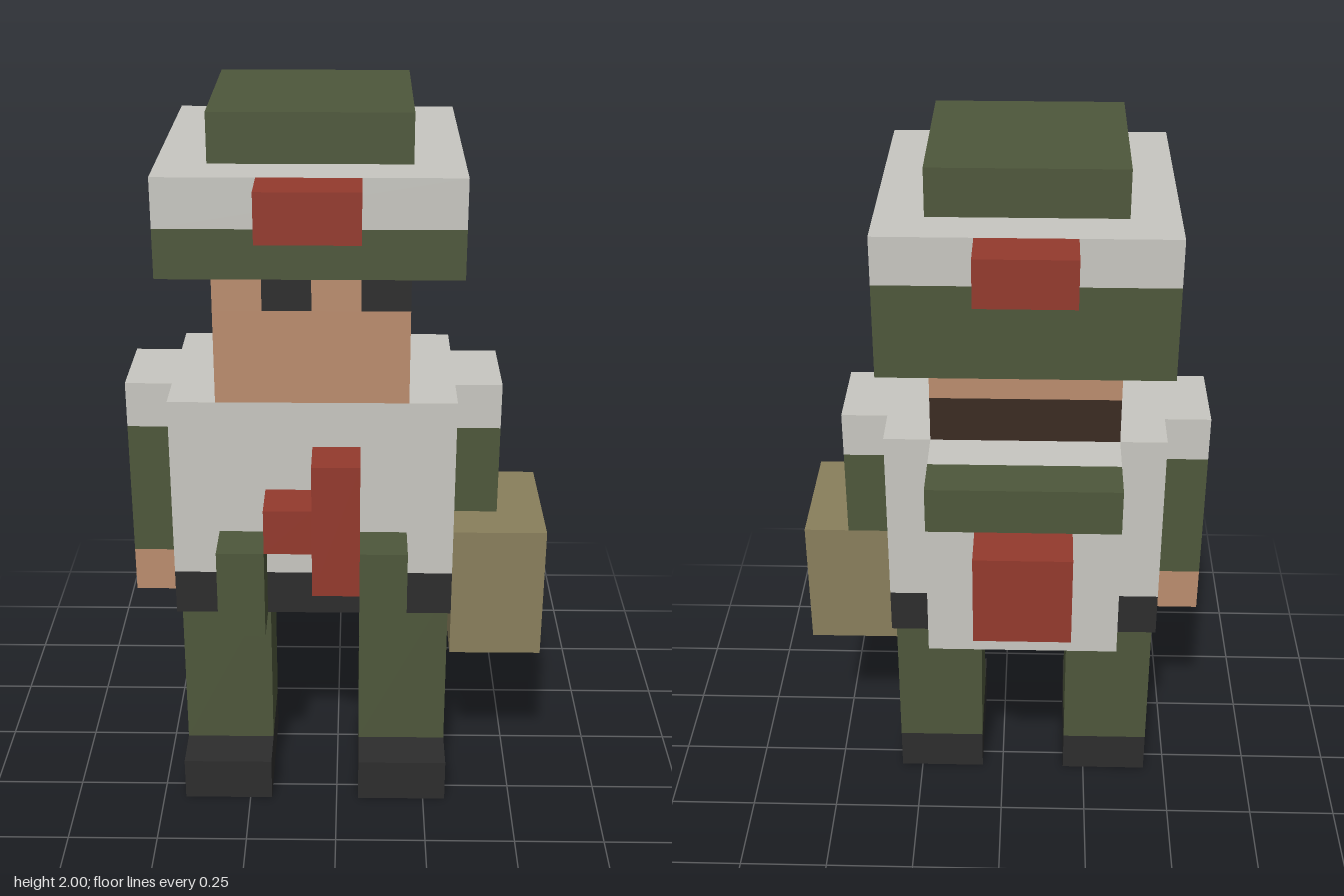
import * as THREE from 'three';

// The figure is laid out on a 9 x 16 x 9 grid of cubes
const UNIT = 0.125;
const HALF = 4.5;

const paint = (name, color) => {
  const m = new THREE.MeshStandardMaterial({ color });
  m.name = name;
  return m;
};

export function createModel() {
  const green = paint('olive green', 0x4e573b);
  const white = paint('off white', 0xc8c7c1);
  const red = paint('brick red', 0x943a2d);
  const skin = paint('skin', 0xbb8d6e);
  const black = paint('charcoal', 0x2d2d2d);
  const tan = paint('khaki tan', 0x897f5c);
  const brown = paint('dark brown', 0x3b2b22);

  const model = new THREE.Group();
  model.name = 'figure';

  const part = (name) => {
    const g = new THREE.Group();
    g.name = name;
    model.add(g);
    return g;
  };

  // Box spanning grid ranges [from, to] on each axis
  const block = (parent, name, material, [x0, x1], [y0, y1], [z0, z1]) => {
    const geo = new THREE.BoxGeometry((x1 - x0) * UNIT, (y1 - y0) * UNIT, (z1 - z0) * UNIT);
    const mesh = new THREE.Mesh(geo, material);
    mesh.name = name;
    mesh.position.set(
      ((x0 + x1) / 2 - HALF) * UNIT,
      ((y0 + y1) / 2) * UNIT,
      ((z0 + z1) / 2 - HALF) * UNIT
    );
    parent.add(mesh);
  };

  // Legs and shoes
  for (const [side, x] of [['right', 1], ['left', 5]]) {
    const leg = part(side + 'Leg');
    block(leg, 'shoe', black, [x, x + 2], [0, 1], [4, 7]);
    block(leg, 'trouserLeg', green, [x, x + 2], [1, 5], [4, 6]);
  }

  // Torso with belt, belt pouches and chest emblem blocks
  const torso = part('torso');
  block(torso, 'belt', black, [1, 7], [5, 6], [3, 7]);
  block(torso, 'shirt', white, [1, 7], [6, 10], [3, 7]);
  for (const x of [2, 5]) block(torso, 'beltPouch', green, [x, x + 1], [5, 7], [7, 8]);
  block(torso, 'chestBlockTall', red, [4, 5], [6, 9], [7, 8]);
  block(torso, 'chestBlockShort', red, [3, 4], [7, 8], [7, 8]);

  // Arms
  const rightArm = part('rightArm');
  block(rightArm, 'shoulder', white, [0, 1], [9, 10], [4, 6]);
  block(rightArm, 'sleeve', green, [0, 1], [6, 9], [4, 6]);
  block(rightArm, 'hand', skin, [0, 1], [5, 6], [4, 6]);
  const leftArm = part('leftArm');
  block(leftArm, 'shoulder', white, [7, 8], [9, 10], [4, 6]);
  block(leftArm, 'sleeve', green, [7, 8], [7, 9], [4, 6]);
  block(leftArm, 'carriedBag', tan, [7, 9], [4, 7], [4, 7]);

  // Backpack
  const pack = part('backpack');
  block(pack, 'packInner', white, [2, 6], [6, 10], [2, 3]);
  block(pack, 'packOuter', white, [2, 6], [6, 9], [1, 2]);
  block(pack, 'bedroll', green, [2, 6], [9, 10], [1, 2]);
  block(pack, 'packPocket', red, [3, 5], [7, 9], [0, 1]);

  // Head, built in layers around the hair and eyes
  const head = part('head');
  block(head, 'hair', brown, [2, 6], [10, 11], [3, 4]);
  block(head, 'jaw', skin, [2, 6], [10, 11], [4, 7]);
  block(head, 'cheeks', skin, [2, 6], [11, 12], [3, 7]);
  block(head, 'brow', skin, [2, 6], [12, 13], [4, 6]);
  for (const x of [2, 4]) {
    block(head, 'eyeGap', skin, [x, x + 1], [12, 13], [6, 7]);
    block(head, 'eye', black, [x + 1, x + 2], [12, 13], [6, 7]);
  }

  // Hat
  const hat = part('hat');
  block(hat, 'neckGuard', green, [1, 7], [12, 13], [2, 4]);
  block(hat, 'brim', green, [1, 7], [13, 14], [2, 8]);
  block(hat, 'band', white, [1, 7], [14, 15], [2, 8]);
  block(hat, 'crown', green, [2, 6], [15, 16], [3, 7]);
  block(hat, 'frontBadge', red, [3, 5], [14, 15], [8, 9]);
  block(hat, 'backBadge', red, [3, 5], [14, 15], [1, 2]);

  return model;
}
